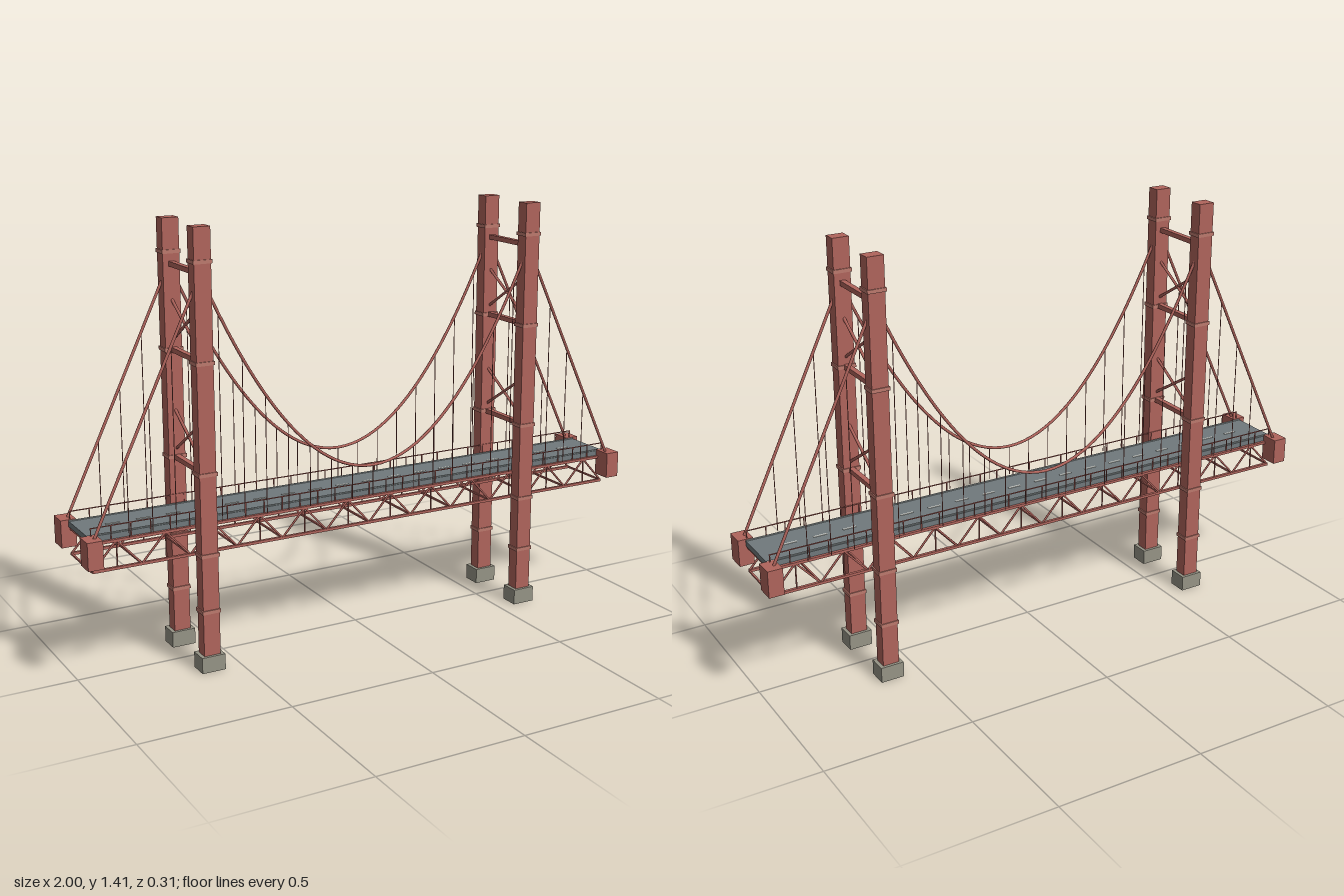
import * as THREE from 'three';
import { mergeGeometries } from 'three/addons/utils/BufferGeometryUtils.js';

const mat = (name, color) => {
  const m = new THREE.MeshStandardMaterial({ color });
  m.name = name;
  return m;
};

export function createModel() {
  const root = new THREE.Group();
  root.name = 'suspensionBridge';
  const red = mat('bridge red', 0xb0645c);
  const paleRed = mat('band red', 0xbd7a6e);
  const concrete = mat('concrete', 0x969486);
  const asphalt = mat('asphalt', 0x70797c);
  const paint = mat('road paint', 0xd0d2cc);

  const box = (w, h, d, x, y, z) => new THREE.BoxGeometry(w, h, d).translate(x, y, z);
  // Square or round bar between two points
  const bar = (a, b, r, sides = 6) => {
    const p = new THREE.Vector3(...a), q = new THREE.Vector3(...b);
    const dir = q.clone().sub(p);
    const g = new THREE.CylinderGeometry(r, r, dir.length(), sides);
    g.applyQuaternion(new THREE.Quaternion().setFromUnitVectors(new THREE.Vector3(0, 1, 0), dir.normalize()));
    const c = p.add(q).multiplyScalar(0.5);
    return g.translate(c.x, c.y, c.z);
  };
  const add = (name, parts, material, parent = root) => {
    const mesh = new THREE.Mesh(mergeGeometries(parts), material);
    mesh.name = name;
    parent.add(mesh);
  };

  // Towers
  const TX = 0.6, CZ = 0.12;
  for (const sx of [-1, 1]) {
    const tower = new THREE.Group();
    tower.name = sx > 0 ? 'leftTower' : 'rightTower';
    const x = sx * TX, legs = [], feet = [], bands = [], struts = [], braces = [];
    for (const z of [-CZ, CZ]) {
      legs.push(box(0.056, 1.365, 0.045, x, 0.7325, z));
      feet.push(box(0.08, 0.053, 0.065, x, 0.0265, z));
      for (const y of [0.2, 0.387, 0.65, 1.0, 1.31]) bands.push(box(0.063, 0.012, 0.052, x, y, z));
    }
    for (const y of [0.648, 1.0, 1.272]) struts.push(box(0.018, 0.016, 0.2, x, y, 0));
    for (const y of [0.74, 1.095]) {
      for (const s of [-1, 1]) braces.push(bar([x, y - 0.063 * s, -0.1], [x, y + 0.063 * s, 0.1], 0.005));
    }
    add('towerLegs', legs, red, tower);
    add('towerFootings', feet, concrete, tower);
    add('towerBands', bands, paleRed, tower);
    add('towerStruts', struts, red, tower);
    add('towerCrossBraces', braces, red, tower);
    root.add(tower);
  }

  // Cable anchor blocks
  const anchors = [];
  for (const x of [-0.975, 0.975]) for (const z of [-CZ, CZ]) anchors.push(box(0.05, 0.09, 0.065, x, 0.455, z));
  add('anchorBlocks', anchors, red);

  // Main cables: parabola between towers, straight backstays outside
  const cableY = (x) => {
    const t = Math.abs(x);
    return t <= TX ? 0.59 + 0.68 * (t / TX) ** 2 : 1.27 - 0.78 * (t - TX) / 0.37;
  };
  class MainSpan extends THREE.Curve {
    constructor(z) { super(); this.z = z; }
    getPoint(t, target = new THREE.Vector3()) {
      const x = (t * 2 - 1) * TX;
      return target.set(x, cableY(x), this.z);
    }
  }
  const cables = [], hangers = [];
  for (const z of [-CZ, CZ]) {
    cables.push(new THREE.TubeGeometry(new MainSpan(z), 64, 0.005, 8));
    for (const s of [-1, 1]) cables.push(bar([s * TX, 1.27, z], [s * 0.97, 0.49, z], 0.005, 8));
    for (let i = -11; i <= 11; i++) {
      if (Math.abs(i) === 8) continue;
      const x = i * 0.0777;
      hangers.push(bar([x, 0.485, z], [x, cableY(x), z], 0.0015, 5));
    }
  }
  add('mainCables', cables, red);
  add('hangers', hangers, red);

  // Road deck with kerb lines and centre dashes
  add('roadDeck', [box(1.95, 0.019, 0.178, 0, 0.4865, 0)], asphalt);
  const lines = [], dashes = [];
  for (const z of [-0.083, 0.083]) lines.push(box(1.95, 0.004, 0.005, 0, 0.497, z));
  for (let i = 0; i < 18; i++) dashes.push(box(0.046, 0.002, 0.007, (i - 8.5) * 0.1015, 0.4965, 0));
  add('kerbLines', lines, mat('kerb grey', 0x9aa2a2));
  add('centreDashes', dashes, paint);

  // Stiffening trusses
  const TZ = 0.095, LOW = 0.385, HIGH = 0.474, N = 24, L = 0.968;
  const nodeX = (i) => -L + (2 * L * i) / N;
  const chords = [], web = [], beams = [], rails = [];
  for (const z of [-TZ, TZ]) {
    for (const y of [LOW, HIGH]) chords.push(box(2 * L, 0.009, 0.01, 0, y, z));
    for (let i = 0; i < N; i++) {
      const up = i % 2 === 0;
      web.push(bar([nodeX(i), up ? LOW : HIGH, z], [nodeX(i + 1), up ? HIGH : LOW, z], 0.0035));
      if (up) web.push(bar([nodeX(i + 1), LOW, z], [nodeX(i + 1), HIGH, z], 0.0025));
    }
    // Handrail
    rails.push(box(1.94, 0.003, 0.003, 0, 0.524, z));
    for (let i = 0; i <= 30; i++) rails.push(box(0.003, 0.048, 0.003, -L + (2 * L * i) / 30, 0.5, z));
  }
  // Cross beams joining the two trusses
  for (let i = 0; i <= N; i++) {
    beams.push(box(0.007, 0.009, 2 * TZ, nodeX(i), 0.472, 0));
    if (i % 2 === 0) beams.push(box(0.006, 0.006, 2 * TZ, nodeX(i), LOW, 0));
  }
  add('trussChords', chords, red);
  add('trussWeb', web, red);
  add('crossBeams', beams, red);
  add('handrails', rails, red);
  return root;
}
